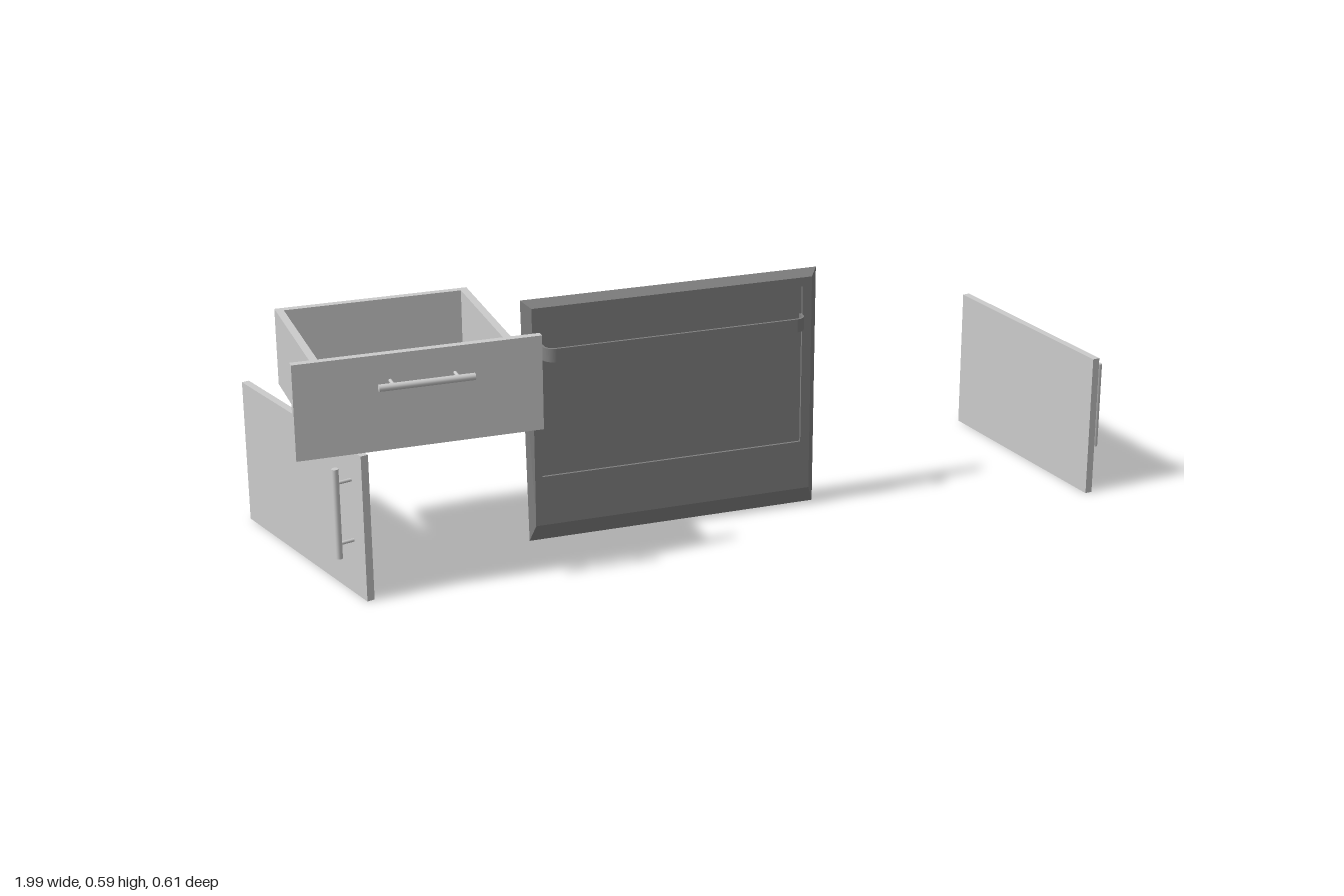
import * as THREE from 'three';

const grey = new THREE.MeshStandardMaterial({ color: 0xcccccc });
const dark = new THREE.MeshStandardMaterial({ color: 0x808080 });

function add(parent, name, geometry, material = grey) {
  const mesh = new THREE.Mesh(geometry, material);
  mesh.name = name;
  parent.add(mesh);
  return mesh;
}

// Box given by its lower and upper corners
function box(parent, name, [x0, y0, z0], [x1, y1, z1]) {
  const mesh = add(parent, name, new THREE.BoxGeometry(x1 - x0, y1 - y0, z1 - z0));
  mesh.position.set((x0 + x1) / 2, (y0 + y1) / 2, (z0 + z1) / 2);
  return mesh;
}

// Round bar along x on two posts; the mounting surface is at z = 0
function barHandle(name) {
  const g = new THREE.Group();
  g.name = name;
  const bar = add(g, 'handleBar', new THREE.CylinderGeometry(0.008, 0.008, 0.213, 20));
  bar.rotation.z = Math.PI / 2;
  bar.position.z = 0.038;
  for (const s of [-1, 1]) {
    const post = add(g, 'handlePost', new THREE.CylinderGeometry(0.004, 0.004, 0.038, 14));
    post.rotation.x = Math.PI / 2;
    post.position.set(s * 0.072, 0, 0.019);
  }
  return g;
}

// Open drawer box with an overlapping front and a bar handle
function drawer() {
  const g = new THREE.Group();
  g.name = 'drawer';
  const [x0, x1, y0, y1, z0, z1, t] = [-0.936, -0.485, 0.375, 0.557, -0.178, 0.24, 0.018];
  box(g, 'drawerBottom', [x0 + t, y0, z0 + t], [x1 - t, y0 + 0.015, z1 - t]);
  box(g, 'drawerSide', [x0, y0, z0], [x0 + t, y1, z1]);
  box(g, 'drawerSide', [x1 - t, y0, z0], [x1, y1, z1]);
  box(g, 'drawerBack', [x0 + t, y0, z0], [x1 - t, y1, z0 + t]);
  box(g, 'drawerInnerFront', [x0 + t, y0, z1 - t], [x1 - t, y1, z1]);
  box(g, 'drawerFront', [-0.99, 0.357, z1], [-0.435, 0.577, 0.258]);
  const handle = barHandle('drawerHandle');
  handle.position.set(-0.705, 0.516, 0.258);
  g.add(handle);
  return g;
}

// Door hung ajar: centre line runs from (xBack, zBack) to (xFront, zFront)
function door(name, side, xBack, xFront) {
  const zBack = -0.298, zFront = 0.247, t = 0.009;
  const g = new THREE.Group();
  g.name = name;
  const half = Math.hypot(xFront - xBack, zFront - zBack) / 2;
  box(g, 'doorPanel', [-t, 0, -half], [t, 0.346, half]);
  box(g, 'edgePlate', [-0.006, 0.138, -half - 0.003], [0.006, 0.2, -half]);
  const handle = barHandle('doorHandle');
  handle.rotation.set(0, side * Math.PI / 2, Math.PI / 2);
  handle.position.set(side * t, 0.203, half - 0.05);
  g.add(handle);
  g.position.set((xBack + xFront) / 2, 0, (zBack + zFront) / 2);
  g.rotation.y = Math.atan2(xFront - xBack, zFront - zBack);
  return g;
}

// Bevelled panel with a shallow recess, lofted through rectangular loops
function appliancePanel() {
  const rect = (x0, x1, y0, y1, z) => [[x0, y0, z], [x1, y0, z], [x1, y1, z], [x0, y1, z]];
  const back = rect(-0.425, 0.296, 0, 0.592, 0.057);
  back[0][0] = -0.415;
  const loops = [
    back,
    rect(-0.405, 0.277, 0.045, 0.577, 0.08),
    rect(-0.387, 0.254, 0.166, 0.555, 0.08),
    rect(-0.387, 0.254, 0.166, 0.555, 0.074),
  ];
  const pos = [];
  const quad = (a, b, c, d) => pos.push(...a, ...b, ...c, ...a, ...c, ...d);
  for (let i = 0; i < loops.length - 1; i++) {
    for (let k = 0; k < 4; k++) {
      const n = (k + 1) % 4;
      quad(loops[i][k], loops[i][n], loops[i + 1][n], loops[i + 1][k]);
    }
  }
  quad(...loops[3]);
  quad(...[...back].reverse());
  const geo = new THREE.BufferGeometry();
  geo.setAttribute('position', new THREE.Float32BufferAttribute(pos, 3));
  geo.computeVertexNormals();
  return geo;
}

// Flat strap bent into a wide U with rounded corners
function strapHandle() {
  const x0 = -0.384, x1 = 0.254, z0 = 0.074, z1 = 0.112, t = 0.006, r = 0.026;
  const s = new THREE.Shape();
  s.moveTo(x0, z0);
  s.lineTo(x0, z1 - r);
  s.absarc(x0 + r, z1 - r, r, Math.PI, Math.PI / 2, true);
  s.lineTo(x1 - r, z1);
  s.absarc(x1 - r, z1 - r, r, Math.PI / 2, 0, true);
  s.lineTo(x1, z0);
  s.lineTo(x1 - t, z0);
  s.lineTo(x1 - t, z1 - r);
  s.absarc(x1 - r, z1 - r, r - t, 0, Math.PI / 2, false);
  s.lineTo(x0 + r, z1 - t);
  s.absarc(x0 + r, z1 - r, r - t, Math.PI / 2, Math.PI, false);
  s.lineTo(x0 + t, z0);
  s.closePath();
  const geo = new THREE.ExtrudeGeometry(s, { depth: 0.032, bevelEnabled: false, curveSegments: 8 });
  geo.rotateX(Math.PI / 2);
  return geo.translate(0, 0.487, 0);
}

export function createModel() {
  const model = new THREE.Group();
  model.name = 'kitchenFronts';

  const appliance = new THREE.Group();
  appliance.name = 'applianceDoor';
  add(appliance, 'appliancePanel', appliancePanel(), dark);
  add(appliance, 'applianceHandle', strapHandle(), dark);

  model.add(
    drawer(),
    appliance,
    door('rightDoor', -1, -0.991, -0.839),
    door('leftDoor', 1, 0.866, 0.946),
  );
  return model;
}
